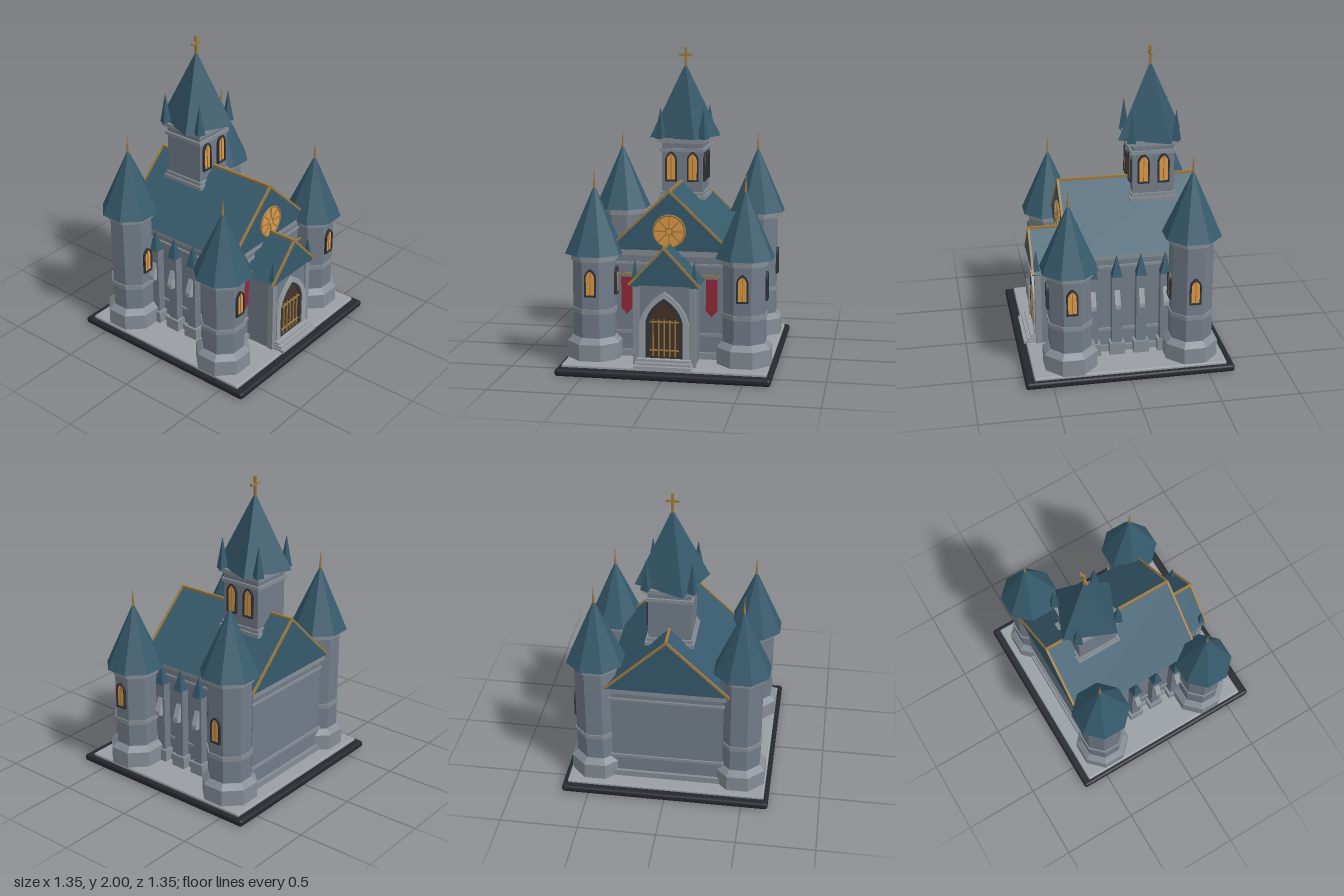
import * as THREE from 'three';
import { RoundedBoxGeometry } from 'three/addons/geometries/RoundedBoxGeometry.js';

const mat = (color) => new THREE.MeshStandardMaterial({ color, flatShading: true });
const M = {
  wall: mat(0x727c88), trim: mat(0x858d95), pale: mat(0x9a9fa4), roof: mat(0x365a6c), gold: mat(0x9c7a42),
  glass: mat(0xe09a45), dark: mat(0x30333a), base: mat(0x24272d), door: mat(0x45342a), cloth: mat(0x8f2a3a),
};

function add(parent, name, geo, material, x = 0, y = 0, z = 0) {
  const m = new THREE.Mesh(geo, material);
  m.name = name;
  m.position.set(x, y, z);
  parent.add(m);
  return m;
}

// Box given by its bottom and top heights
function block(parent, name, material, w, d, y0, y1, x = 0, z = 0) {
  return add(parent, name, new THREE.BoxGeometry(w, y1 - y0, d), material, x, (y0 + y1) / 2, z);
}

// Faceted prism or spire; radii measured across the flats
function prism(parent, name, material, a0, a1, y0, y1, sides = 8, x = 0, z = 0, turn = Math.PI / sides) {
  const k = 1 / Math.cos(Math.PI / sides);
  const m = add(parent, name, new THREE.CylinderGeometry(a1 * k, a0 * k, y1 - y0, sides), material, x, (y0 + y1) / 2, z);
  m.rotation.y = turn;
  return m;
}

// Square bar between two points
function bar(parent, name, p, q, t, material = M.gold, depth = t) {
  const a = new THREE.Vector3(...p), b = new THREE.Vector3(...q);
  const m = add(parent, name, new THREE.BoxGeometry(t, a.distanceTo(b), depth), material);
  m.position.lerpVectors(a, b, 0.5);
  m.quaternion.setFromUnitVectors(new THREE.Vector3(0, 1, 0), b.sub(a).normalize());
  return m;
}

function arch(s, half, h, y0 = 0) {
  const spring = y0 + (h - y0) - half * 1.35;
  s.moveTo(-half, y0);
  s.lineTo(half, y0);
  s.lineTo(half, spring);
  s.quadraticCurveTo(half * 0.85, h - half * 0.5, 0, h);
  s.quadraticCurveTo(-half * 0.85, h - half * 0.5, -half, spring);
  s.lineTo(-half, y0);
  return s;
}

const extrude = (shape, depth) => new THREE.ExtrudeGeometry(shape, { depth, bevelEnabled: false, curveSegments: 6 });

// Pointed window facing +z, foot at the origin
function windowUnit(parent, half, h, x, y, z, turn = 0) {
  const g = new THREE.Group();
  g.name = 'lancetWindow';
  const frame = arch(new THREE.Shape(), half, h);
  frame.holes.push(arch(new THREE.Path(), half * 0.74, h - half * 0.4, half * 0.3));
  add(g, 'windowFrame', extrude(frame, 0.018), M.dark);
  add(g, 'windowPane', extrude(arch(new THREE.Shape(), half * 0.8, h - half * 0.3, half * 0.2), 0.01), M.glass);
  block(g, 'windowMullion', M.gold, 0.005, 0.004, half * 0.3, h - half * 0.5, 0, 0.012);
  g.position.set(x, y, z);
  g.rotation.y = turn;
  parent.add(g);
}

// Solid gabled roof with edge and ridge trim
function gableRoof(parent, name, half, eave, ridge, z0, z1, ends) {
  const g = new THREE.Group();
  g.name = name;
  const s = new THREE.Shape([[-half, eave], [half, eave], [0, ridge]].map((p) => new THREE.Vector2(...p)));
  add(g, 'roofSlopes', extrude(s, z1 - z0), M.roof, 0, 0, z0);
  bar(g, 'ridgeTrim', [0, ridge, z0], [0, ridge, z1], 0.016);
  for (const z of ends) for (const k of [-1, 1]) bar(g, 'gableTrim', [k * half, eave, z], [0, ridge, z], 0.014);
  parent.add(g);
}

function tower(parent, x, z, eave) {
  const g = new THREE.Group();
  g.name = 'cornerTower';
  prism(g, 'towerPlinth', M.trim, 0.167, 0.167, 0.06, 0.17);
  prism(g, 'plinthSlope', M.trim, 0.167, 0.135, 0.17, 0.205);
  prism(g, 'towerShaft', M.wall, 0.131, 0.131, 0.2, eave);
  prism(g, 'towerBand', M.trim, 0.138, 0.138, 0.36, 0.39);
  prism(g, 'towerCollar', M.trim, 0.142, 0.142, eave - 0.04, eave);
  prism(g, 'towerRoof', M.roof, 0.176, 0.002, eave, eave + 0.425);
  prism(g, 'finial', M.gold, 0.009, 0.001, eave + 0.39, eave + 0.525, 6);
  windowUnit(g, 0.037, 0.18, 0, 0.472, 0.128);
  windowUnit(g, 0.037, 0.18, 0.128, 0.472, 0, Math.PI / 2);
  g.position.set(x, 0, z);
  parent.add(g);
}

// Stepped buttress projecting toward side k
function buttress(parent, k, z) {
  const g = new THREE.Group();
  g.name = 'buttress';
  block(g, 'buttressFoot', M.trim, 0.08, 0.1, 0.06, 0.145, 0.39);
  block(g, 'buttressShaft', M.wall, 0.06, 0.065, 0.145, 0.615, 0.385);
  const s = new THREE.Shape([[0.4, 0.39], [0.45, 0.4], [0.45, 0.43], [0.4, 0.56]].map((p) => new THREE.Vector2(...p)));
  add(g, 'slopedWeathering', extrude(s, 0.036), M.pale, 0, 0, -0.018);
  prism(g, 'pinnacle', M.roof, 0.033, 0.001, 0.615, 0.755, 4, 0.395);
  g.position.z = z;
  g.rotation.y = k > 0 ? 0 : Math.PI;
  parent.add(g);
}

function porch(parent) {
  const g = new THREE.Group();
  g.name = 'porch';
  block(g, 'porchWalls', M.wall, 0.38, 0.23, 0.06, 0.59, 0, 0.425);
  gableRoof(g, 'porchRoof', 0.222, 0.575, 0.81, 0.34, 0.565, [0.562]);
  for (const k of [-1, 1]) {
    block(g, 'porchPier', M.trim, 0.04, 0.04, 0.06, 0.575, k * 0.177, 0.53);
    prism(g, 'porchPinnacle', M.roof, 0.025, 0.001, 0.565, 0.73, 4, k * 0.185, 0.538);
  }
  // Arched doorway with a barred door
  const surround = arch(new THREE.Shape(), 0.157, 0.535, 0.1);
  surround.holes.push(arch(new THREE.Path(), 0.118, 0.495, 0.11));
  add(g, 'doorSurround', extrude(surround, 0.02), M.pale, 0, 0, 0.538);
  const jamb = arch(new THREE.Shape(), 0.12, 0.498, 0.105);
  jamb.holes.push(arch(new THREE.Path(), 0.097, 0.465, 0.115));
  add(g, 'doorJamb', extrude(jamb, 0.012), M.dark, 0, 0, 0.538);
  add(g, 'door', extrude(arch(new THREE.Shape(), 0.1, 0.47, 0.11), 0.005), M.door, 0, 0, 0.538);
  for (let i = -2; i <= 2; i++) block(g, 'doorBar', M.gold, 0.007, 0.007, 0.125, 0.36, i * 0.035, 0.547);
  for (const y of [0.165, 0.345]) block(g, 'doorCrossbar', M.gold, 0.185, 0.008, y - 0.004, y + 0.004, 0, 0.548);
  for (let i = 0; i < 3; i++) {
    block(g, 'step', M.pale, 0.36 - i * 0.012, 0.12, 0.06, 0.08 + i * 0.017, 0, 0.57 - i * 0.022);
  }
  parent.add(g);
}

function belfry(parent) {
  const g = new THREE.Group();
  g.name = 'belfry';
  block(g, 'belfryWalls', M.wall, 0.27, 0.27, 0.95, 1.41);
  for (const [w, y0, y1] of [[0.31, 1.01, 1.035], [0.29, 1.035, 1.06], [0.295, 1.325, 1.348], [0.29, 1.38, 1.395], [0.32, 1.39, 1.415]])
    block(g, 'belfryMoulding', M.trim, w, w, y0, y1);
  const a = 0.24 * Math.cos(Math.PI / 4);
  prism(g, 'spire', M.roof, a, 0.002, 1.412, 1.89, 4, 0, 0, Math.PI / 8);
  for (const x of [-1, 1]) for (const z of [-1, 1])
    prism(g, 'belfryPinnacle', M.roof, 0.027, 0.001, 1.41, 1.61, 4, x * 0.142, z * 0.142, Math.PI / 8);
  for (const s of [-0.072, 0.072]) {
    windowUnit(g, 0.038, 0.2, s, 1.128, 0.132);
    windowUnit(g, 0.038, 0.2, 0.132, 1.128, s * 0.9, Math.PI / 2);
  }
  block(g, 'crossPost', M.gold, 0.015, 0.015, 1.87, 2);
  block(g, 'crossArm', M.gold, 0.084, 0.013, 1.943, 1.957);
  g.position.z = -0.235;
  parent.add(g);
}

export function createModel() {
  const root = new THREE.Group();
  root.name = 'church';

  // Ground slabs
  add(root, 'basePlate', new RoundedBoxGeometry(1.346, 0.046, 1.346, 3, 0.018), M.base, 0, 0.023, 0);
  add(root, 'terrace', new RoundedBoxGeometry(1.286, 0.04, 1.24, 2, 0.01), M.pale, 0, 0.044, -0.005);

  // Nave
  const nave = new THREE.Group();
  nave.name = 'nave';
  root.add(nave);
  block(nave, 'naveWalls', M.wall, 0.72, 0.85, 0.06, 0.757, 0, -0.085);
  for (const [grow, y0, y1] of [[0.04, 0.06, 0.105], [0.02, 0.21, 0.23], [0.02, 0.66, 0.675], [0.04, 0.72, 0.757]])
    block(nave, 'naveMoulding', M.trim, 0.72 + grow, 0.85 + grow, y0, y1, 0, -0.085);
  gableRoof(nave, 'naveRoof', 0.396, 0.757, 1.132, -0.538, 0.365, [-0.535, 0.364]);
  for (const k of [-1, 1]) for (const z of [0.207, 0.05, -0.107, -0.264]) buttress(nave, k, z);

  // Round window in the front gable
  const rose = new THREE.Group();
  rose.name = 'roseWindow';
  rose.position.set(0, 0.882, 0.367);
  root.add(rose);
  add(rose, 'rosePane', new THREE.CylinderGeometry(0.1, 0.1, 0.012, 32), M.glass).rotation.x = Math.PI / 2;
  add(rose, 'roseRim', new THREE.TorusGeometry(0.1, 0.007, 6, 32), M.gold, 0, 0, 0.006);
  add(rose, 'roseHub', new THREE.TorusGeometry(0.022, 0.005, 6, 16), M.gold, 0, 0, 0.008);
  for (let i = 0; i < 8; i++) {
    const c = Math.cos(i * Math.PI / 4), s = Math.sin(i * Math.PI / 4);
    bar(rose, 'roseSpoke', [c * 0.022, s * 0.022, 0.008], [c * 0.098, s * 0.098, 0.008], 0.007);
  }

  // Hanging banners
  for (const k of [-1, 1]) {
    const s = new THREE.Shape([[-0.036, 0.585], [-0.036, 0.385], [0, 0.345], [0.036, 0.385], [0.036, 0.585]].map((p) => new THREE.Vector2(...p)));
    add(root, 'banner', extrude(s, 0.008), M.cloth, k * 0.27, 0, 0.375);
    bar(root, 'bannerRod', [k * 0.2, 0.605, 0.379], [k * 0.33, 0.605, 0.379], 0.01);
    bar(root, 'bannerBracket', [k * 0.27, 0.605, 0.34], [k * 0.27, 0.605, 0.379], 0.008);
    for (const d of [-0.03, 0.03]) bar(root, 'bannerTie', [k * 0.27 + d, 0.58, 0.379], [k * 0.27 + d, 0.605, 0.379], 0.004);
  }

  porch(root);
  belfry(root);
  for (const k of [-1, 1]) {
    tower(root, k * 0.478, 0.367, 0.733);
    tower(root, k * 0.466, -0.415, 0.9);
  }
  return root;
}
